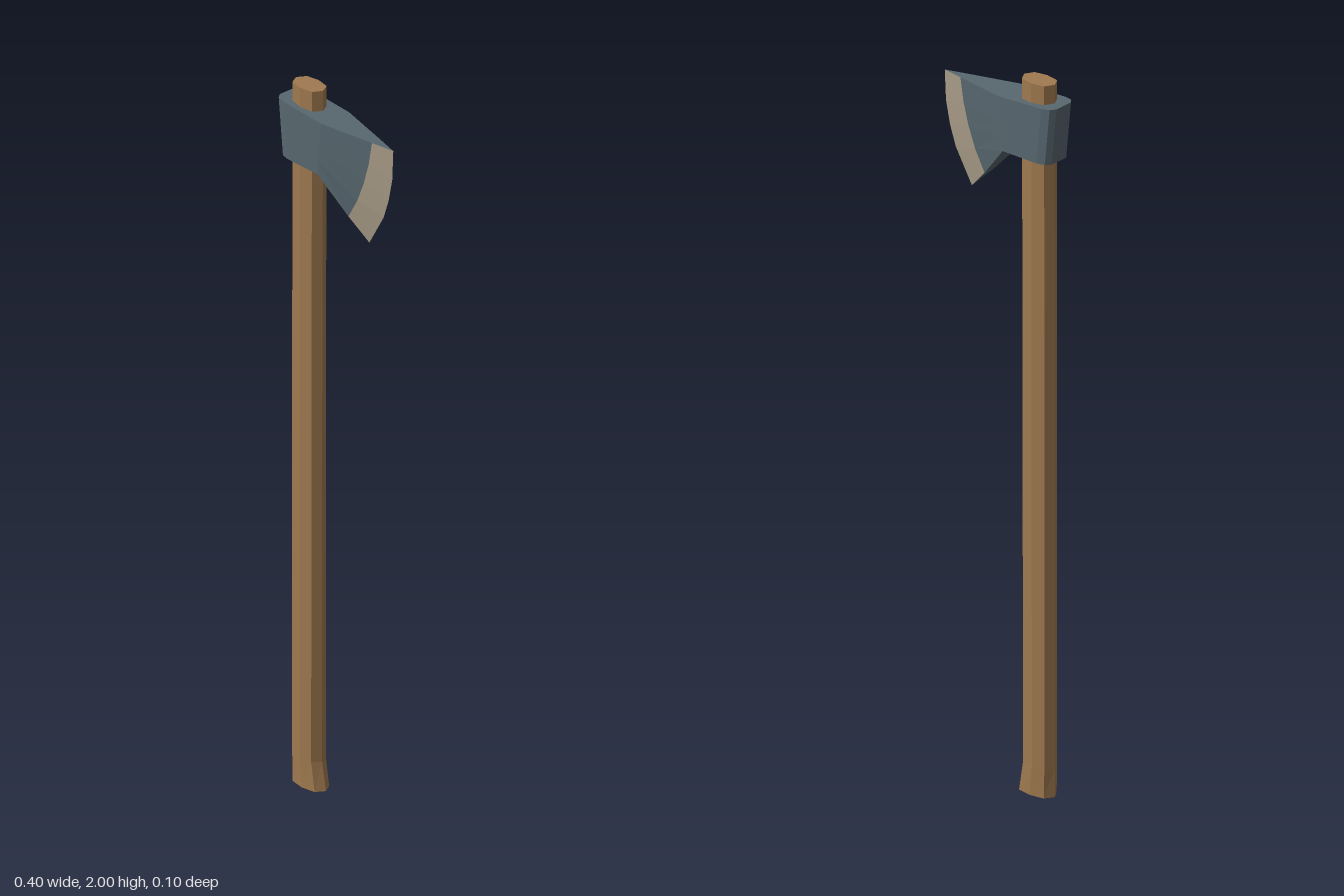
import * as THREE from 'three';

const paint = (name, color) => {
  const m = new THREE.MeshStandardMaterial({ color });
  m.name = name;
  return m;
};

// Skins equal-length rings of [x, y, z] into flat-shaded faces.
// pick(i, j) gives the material index for each quad.
function loft(rings, caps, pick = () => 0) {
  const buckets = [[], []];
  const n = rings[0].length;
  for (let i = 0; i < rings.length - 1; i++) {
    for (let j = 0; j < n; j++) {
      const k = (j + 1) % n;
      const a = rings[i][j], b = rings[i][k], c = rings[i + 1][k], d = rings[i + 1][j];
      buckets[pick(i, j)].push(...a, ...b, ...c, ...a, ...c, ...d);
    }
  }
  if (caps) {
    const lo = rings[0], hi = rings[rings.length - 1];
    for (let j = 1; j < n - 1; j++) {
      buckets[0].push(...hi[0], ...hi[j], ...hi[j + 1]);
      buckets[0].push(...lo[0], ...lo[j + 1], ...lo[j]);
    }
  }
  const geo = new THREE.BufferGeometry();
  geo.setAttribute('position', new THREE.Float32BufferAttribute(buckets.flat(), 3));
  geo.addGroup(0, buckets[0].length / 3, 0);
  geo.addGroup(buckets[0].length / 3, buckets[1].length / 3, 1);
  geo.computeVertexNormals();
  return geo;
}

export function createModel() {
  const wood = paint('wood', 0xa07a50);
  const steel = paint('dark steel', 0x586870);
  const ground = paint('ground edge steel', 0xaa9d88);
  const group = new THREE.Group();
  group.name = 'axe';
  const add = (name, geo, mats) => {
    const mesh = new THREE.Mesh(geo, mats);
    mesh.name = name;
    group.add(mesh);
  };

  // Handle: flattened octagon, flaring forward at the foot
  const octagon = [[1, 0], [0.73, -0.78], [0, -1], [-0.73, -0.78],
    [-1, 0], [-0.73, 0.78], [0, 1], [0.73, 0.78]];
  const handleRings = [[0, -0.17, -0.056], [0.08, -0.17, -0.071], [1.24, -0.17, -0.07], [2, -0.17, -0.067]]
    .map(([y, x0, x1]) => octagon.map(([u, w]) =>
      [(x0 + x1) / 2 + u * (x1 - x0) / 2, y, w * 0.032]));
  add('handle', loft(handleRings, true), [wood, wood]);

  // Eye block: chamfered poll, slightly narrower underneath, top sloping forward
  const eyeRing = (back, front, yBack, yFront) => {
    const half = [[front, 0.048], [back + 0.035, 0.048], [back + 0.011, 0.042], [back, 0.028]];
    const loop = [...half.map(([x, z]) => [x, -z]), ...half.reverse()];
    return loop.map(([x, z]) =>
      [x, yBack + (yFront - yBack) * (x - back) / (front - back), z]);
  };
  add('eyeBlock', loft([
    eyeRing(-0.184, -0.036, 1.79, 1.79),
    eyeRing(-0.2, -0.022, 1.95, 1.94),
  ], true), [steel, steel]);

  // Blade: wedge running from the eye block to a curved cutting edge
  const root = [], bevel = [], edge = [];
  const bevelXY = [[0.135, 1.933], [0.124, 1.87], [0.107, 1.81], [0.083, 1.75], [0.05, 1.692]];
  const edgeXY = [[0.2, 1.93], [0.196, 1.845], [0.182, 1.78], [0.163, 1.725], [0.109, 1.633]];
  for (let r = 0; r < 5; r++) {
    const t = r / 4;
    root.push([-0.022 - 0.014 * t, 1.94 - 0.15 * t, 0.048]);
    bevel.push([...bevelXY[r], 0.0145 + 0.004 * t]);
    edge.push([...edgeXY[r], 0]);
  }
  const wrap = (pts) => [...pts, ...pts.slice().reverse().map(([x, y, z]) => [x, y, -z])];
  const sharpened = (i, j) => (i === 1 && j !== 4 && j !== 9 ? 1 : 0);
  add('blade', loft([wrap(root), wrap(bevel), wrap(edge)], false, sharpened), [steel, ground]);

  return group;
}
